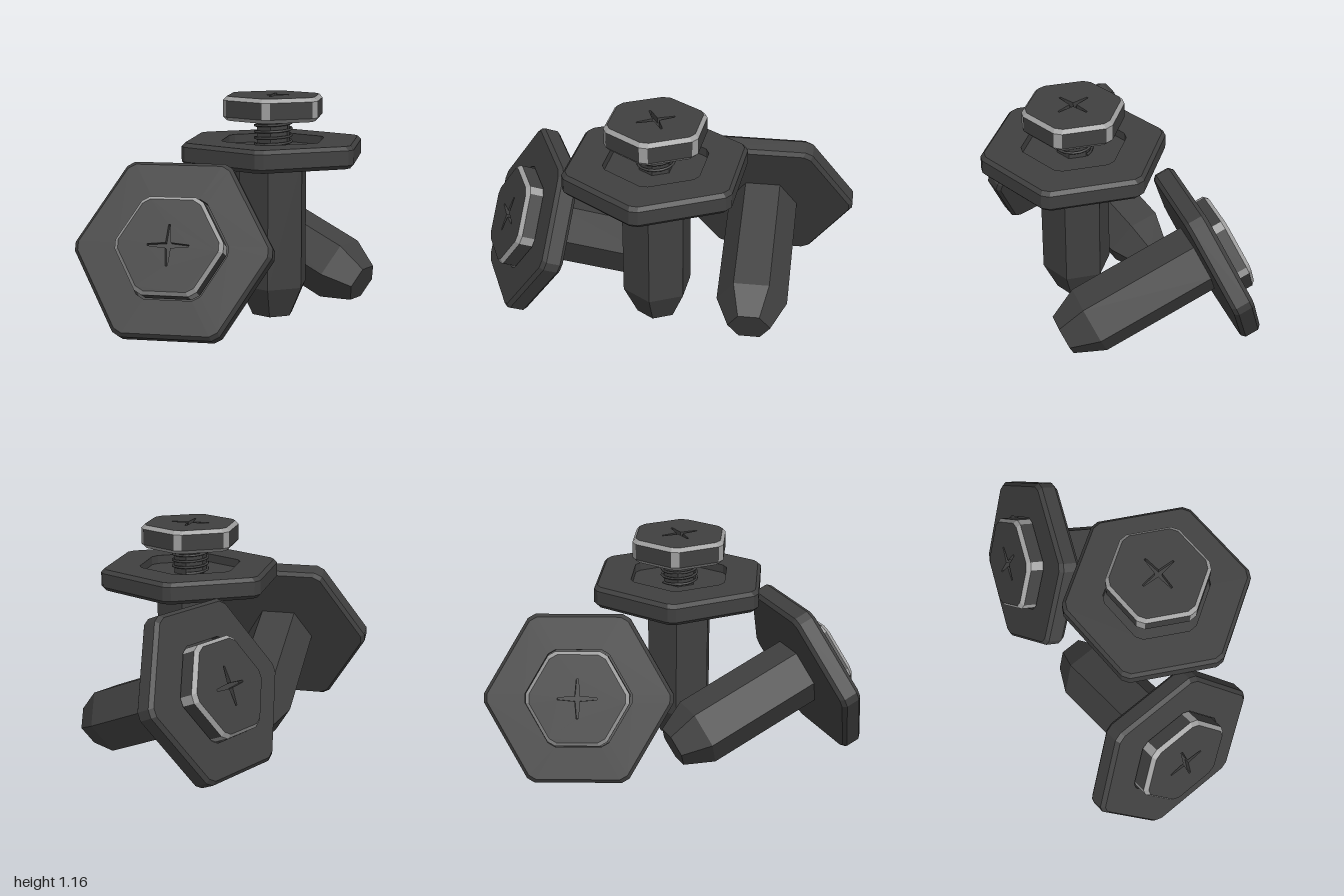
import * as THREE from 'three';

const dark = new THREE.MeshStandardMaterial({ color: 0x404040 });
dark.name = 'dark grey';
const light = new THREE.MeshStandardMaterial({ color: 0xa0a0a0 });
light.name = 'worn edge grey';

// Hexagon outline (corners on +-x) whose corners are cut off by `cut`
function hexRing(r, cut) {
  const c = r > 0 ? cut : 0, pts = [];
  for (let i = 0; i < 6; i++) {
    const a = i * Math.PI / 3, w = c * Math.sqrt(3);
    for (const s of [-w, w]) {
      pts.push(new THREE.Vector2(
        Math.cos(a) * (r - c) - Math.sin(a) * s,
        Math.sin(a) * (r - c) + Math.cos(a) * s));
    }
  }
  return pts;
}

// Hexagonal loft through [radius, height] pairs, listed from the bottom up;
// isEdge picks the faces that get the light material
function hexLoft(profile, cut, isEdge = () => false) {
  const sets = [[], []];
  const rings = profile.map(([r, y]) => hexRing(r, cut).map(p => [p.x, y, -p.y]));
  for (let k = 0; k < rings.length - 1; k++) {
    for (let j = 0; j < 12; j++) {
      const corner = j % 2 === 0, n = (j + 1) % 12;
      if (corner && cut === 0) continue;
      const out = sets[isEdge(k, corner) ? 1 : 0];
      const a = rings[k][j], b = rings[k][n], c = rings[k + 1][j], d = rings[k + 1][n];
      if (profile[k][0] > 0) out.push(...a, ...b, ...d);
      if (profile[k + 1][0] > 0) out.push(...a, ...d, ...c);
    }
  }
  const geo = new THREE.BufferGeometry();
  geo.setAttribute('position', new THREE.Float32BufferAttribute([...sets[0], ...sets[1]], 3));
  geo.addGroup(0, sets[0].length / 3, 0);
  if (sets[1].length) geo.addGroup(sets[0].length / 3, sets[1].length / 3, 1);
  geo.computeVertexNormals();
  return geo;
}

function add(parent, name, geo, material = dark) {
  const mesh = new THREE.Mesh(geo, material);
  mesh.name = name;
  parent.add(mesh);
  return mesh;
}

// Four tapering arms of the driver slot
function crossPoints() {
  const pts = [];
  for (let i = 0; i < 4; i++) {
    for (const [x, y] of [[0.013, -0.013], [0.103, -0.005], [0.103, 0.005]]) {
      pts.push(new THREE.Vector2(x, y).rotateAround(new THREE.Vector2(), i * Math.PI / 2));
    }
  }
  return pts;
}

// One push peg; origin at the middle of its flange, capTop is the button height
function makePeg(name, capTop, sprung) {
  const peg = new THREE.Group();
  peg.name = name;

  // Pin with tapered tip
  add(peg, 'pin', hexLoft([[0, -0.872], [0.113, -0.872], [0.188, -0.712], [0.188, -0.04]], 0));

  // Bevelled flange with a socket for the button
  add(peg, 'flange', hexLoft([
    [0, -0.0575], [0.488, -0.0575], [0.508, -0.0375], [0.508, 0.0375],
    [0.488, 0.0575], [0.292, 0.0575], [0.292, 0.012], [0, 0.012]], 0.013));

  // Button with light bevels and corners
  const R = 0.282, T = 0.125, bevel = 0.02, cut = 0.013;
  const button = new THREE.Group();
  button.name = 'button';
  button.position.y = capTop;
  peg.add(button);
  add(button, 'buttonBody', hexLoft([
    [0, -T], [R - bevel, -T], [R, bevel - T], [R, -bevel], [R - bevel, 0]], cut,
  (k, corner) => k === 1 || k === 3 || (k === 2 && corner)), [dark, light]);

  // Button face pierced by the slot
  const face = new THREE.Shape(hexRing(R - bevel, cut));
  face.holes.push(new THREE.Path(crossPoints().reverse()));
  add(button, 'buttonFace', new THREE.ShapeGeometry(face).rotateX(-Math.PI / 2));

  // Slot walls and floor: a cross turned inside out by mirroring
  const depth = 0.03;
  const slot = new THREE.ExtrudeGeometry(new THREE.Shape(crossPoints()), { depth, bevelEnabled: false });
  slot.rotateX(-Math.PI / 2).translate(0, -depth, 0).scale(-1, 1, 1);
  slot.computeVertexNormals();
  add(button, 'driverSlot', slot);

  // Raised button shows its neck and the thread wound round it
  if (sprung) {
    const y0 = 0.012, y1 = capTop - T;
    add(peg, 'neck', hexLoft([[0.092, y0], [0.092, y1]], 0));
    const turns = 4, pts = [];
    for (let i = 0; i <= turns * 12; i++) {
      const a = i * Math.PI / 6, t = i / (turns * 12);
      pts.push(new THREE.Vector3(Math.cos(a) * 0.096, y0 + 0.01 + (y1 - y0 - 0.02) * t, -Math.sin(a) * 0.096));
    }
    add(peg, 'thread', new THREE.TubeGeometry(new THREE.CatmullRomCurve3(pts), turns * 16, 0.007, 6));
  }
  return peg;
}

export function createModel() {
  const model = new THREE.Group();
  model.name = 'pushPegs';
  const deg = Math.PI / 180;
  // name, flange centre, yaw, tilt, button height, raised
  const pegs = [
    ['standingPeg', [0.2, 0.872, 0.172], 93, 0, 0.288, true],
    ['frontPeg', [-0.175, 0.435, 0.775], 1.8, 67, 0.145, false],
    ['backPeg', [-0.118, 0.435, -0.525], -112.5, 67, 0.145, false],
  ];
  for (const [name, pos, yaw, tilt, capTop, sprung] of pegs) {
    const peg = makePeg(name, capTop, sprung);
    peg.position.set(...pos);
    peg.rotation.set(tilt * deg, yaw * deg, 0, 'YXZ');
    model.add(peg);
  }
  return model;
}
